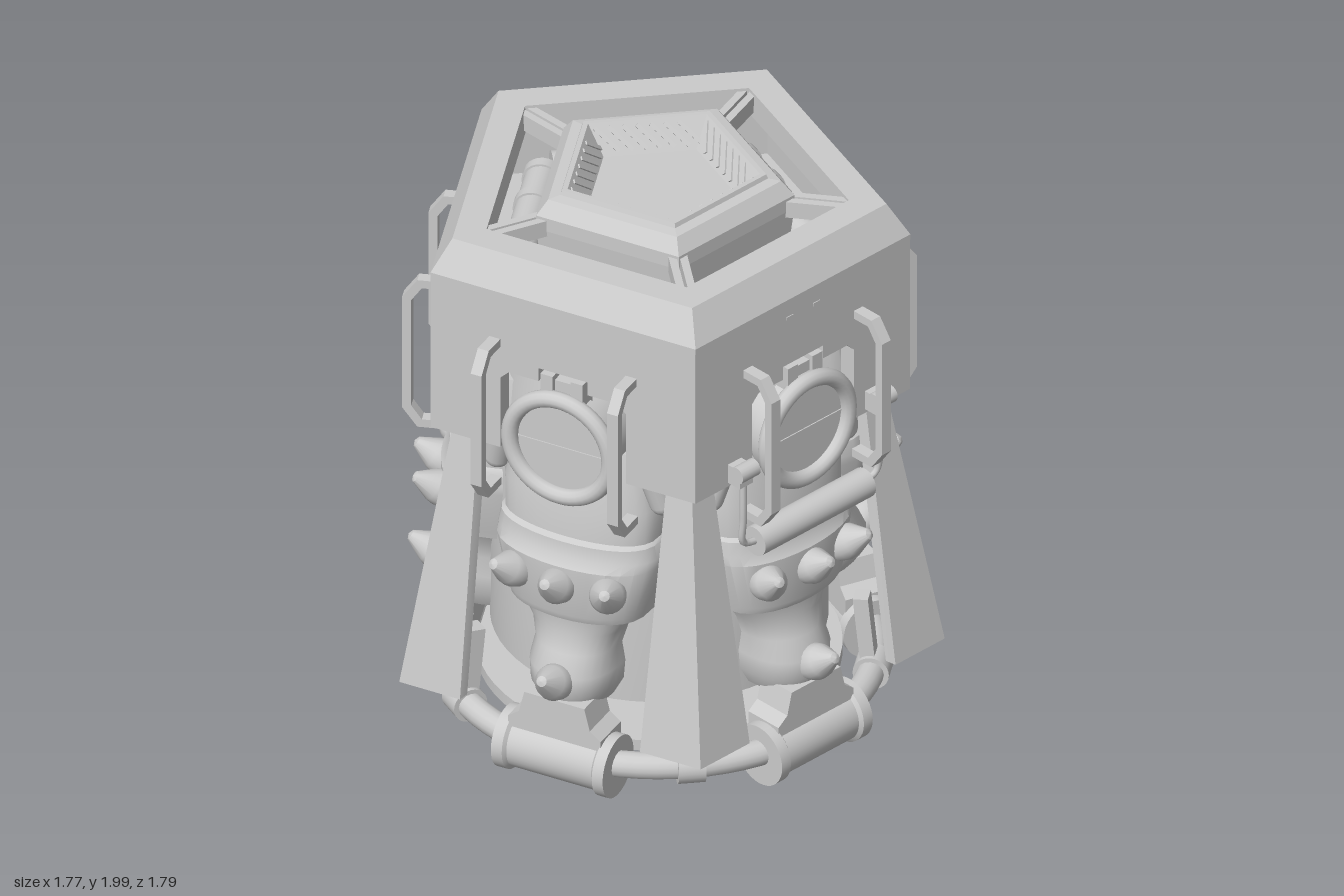
import * as THREE from 'three';
import { toCreasedNormals } from 'three/addons/utils/BufferGeometryUtils.js';

const grey = new THREE.MeshStandardMaterial({ color: 0xcccccc, side: THREE.DoubleSide });
const flat = new THREE.MeshStandardMaterial({ color: 0xcccccc, side: THREE.DoubleSide, flatShading: true });
const STEP = (Math.PI * 2) / 5;
const C36 = Math.cos(Math.PI / 5);
const v2 = (p) => new THREE.Vector2(...p);

function add(parent, name, geometry, pos = [0, 0, 0], rot = [0, 0, 0], material = grey) {
  const mesh = new THREE.Mesh(geometry, material);
  mesh.name = name;
  mesh.position.set(...pos);
  mesh.rotation.set(...rot);
  parent.add(mesh);
  return mesh;
}
const box = (x, y, z) => new THREE.BoxGeometry(x, y, z);
const cyl = (r, h, n = 32) => new THREE.CylinderGeometry(r, r, h, n);

// Pentagonal solid from [apothem, y] pairs, one corner on -x
const pentagon = (points) =>
  new THREE.LatheGeometry(points.map(([a, y]) => new THREE.Vector2(a / C36, y)), 5, -Math.PI / 2);

const polygon = (points) => new THREE.Shape(points.map(v2));

// Skin closed sections, bottom to top; for caps, point i lies opposite point n-1-i
function loft(sections, crease) {
  const n = sections[0].length, index = [];
  sections.slice(1).forEach((_, s) => {
    for (let i = 0; i < n; i++) {
      const a = s * n + i, b = s * n + ((i + 1) % n);
      index.push(a, b, b + n, a, b + n, a + n);
    }
  });
  const top = (sections.length - 1) * n;
  for (let i = 0; i < n / 2 - 1; i++) {
    const [a, b, c, d] = [i, i + 1, n - 2 - i, n - 1 - i];
    index.push(a, c, b, a, d, c, top + a, top + b, top + c, top + a, top + c, top + d);
  }
  const g = new THREE.BufferGeometry();
  g.setAttribute('position', new THREE.Float32BufferAttribute(sections.flat(2), 3));
  g.setIndex(index);
  return toCreasedNormals(g, crease);
}

// Cross-section of a leg: rounded front, flat back
function legSection([y, w, front]) {
  const outer = [], inner = [], n = 16;
  for (let i = 0; i <= n; i++) {
    const t = Math.PI * (1 - i / n), x = w * Math.cos(t);
    outer.push([x, y, 0.5 + (front - 0.5) * Math.pow(Math.max(Math.sin(t), 0), 0.65)]);
    inner.unshift([x, y, 0.42]);
  }
  return [...outer, ...inner];
}

// Wedge-shaped cross-section of a corner fin
function finSection([y, w, r]) {
  const wing = r - w * 0.727, back = wing - 0.035;
  return [[-w, y, wing], [0, y, r], [w, y, wing], [w * 0.9, y, back], [0, y, back], [-w * 0.9, y, back]];
}

const legGeometry = loft([[0.3, 0.12, 0.7], [0.36, 0.15, 0.73], [0.43, 0.155, 0.73], [0.5, 0.145, 0.69],
  [0.57, 0.165, 0.67], [0.63, 0.2, 0.675], [0.645, 0.245, 0.7], [0.67, 0.25, 0.71], [0.85, 0.295, 0.71],
  [0.88, 0.295, 0.685], [0.93, 0.285, 0.68], [0.94, 0.275, 0.66], [1.06, 0.28, 0.65], [1.26, 0.23, 0.6]].map(legSection), 0.6);
const finGeometry = loft([[0.26, 0.18, 0.94], [1.26, 0.07, 0.735]].map(finSection), 0.3);
const spikeGeometry = toCreasedNormals(new THREE.LatheGeometry(
  [[0, -0.035], [0.058, -0.035], [0.062, 0], [0.054, 0.03], [0.018, 0.098], [0, 0.106]].map(v2), 20), 0.5);
const rollerGeometry = toCreasedNormals(new THREE.LatheGeometry(
  [[0, -0.205], [0.108, -0.205], [0.108, -0.165], [0.095, -0.155], [0.095, 0.155],
    [0.108, 0.165], [0.108, 0.205], [0, 0.205]].map(v2), 36), 0.5);
const footGeometry = new THREE.ExtrudeGeometry(polygon([
  [-0.17, 0.12], [0.17, 0.12], [0.17, 0.23], [0.13, 0.26], [0.11, 0.34], [-0.11, 0.34], [-0.13, 0.26], [-0.17, 0.23]]),
{ depth: 0.14, bevelEnabled: false });
const panelGeometry = new THREE.ExtrudeGeometry(polygon([
  [-0.484, 1.22], [-0.23, 1.22], [-0.23, 1.49], [-0.2, 1.52], [-0.09, 1.52], [-0.09, 1.57], [0.09, 1.57],
  [0.09, 1.52], [0.2, 1.52], [0.23, 1.49], [0.23, 1.22], [0.484, 1.22], [0.484, 1.82], [-0.484, 1.82]]),
{ depth: 0.06, bevelEnabled: false });
const handleGeometry = new THREE.ExtrudeGeometry(polygon([
  [0.66, 1.64], [0.75, 1.64], [0.8, 1.57], [0.8, 1.14], [0.75, 1.07], [0.66, 1.07],
  [0.66, 1.1], [0.735, 1.1], [0.77, 1.15], [0.77, 1.56], [0.735, 1.61], [0.66, 1.61]]),
{ depth: 0.04, bevelEnabled: false });

// Everything on one face, built facing +z
function buildFace() {
  const g = new THREE.Group();
  add(g, 'wallPanel', panelGeometry, [0, 0, 0.609]);

  // Round lamp
  add(g, 'lampHousing', cyl(0.175, 0.24), [0, 1.3, 0.565], [Math.PI / 2, 0, 0]);
  add(g, 'lampRim', new THREE.TorusGeometry(0.184, 0.029, 12, 48), [0, 1.3, 0.69]);
  add(g, 'lampCollar', new THREE.CylinderGeometry(0.19, 0.19, 0.07, 40, 1, true), [0, 1.3, 0.66], [Math.PI / 2, 0, 0]);
  add(g, 'lampSplit', box(0.34, 0.006, 0.006), [0, 1.3, 0.686]);
  for (const s of [-1, 1]) add(g, 'lampBracket', box(0.045, 0.1, 0.07), [s * 0.055, 1.51, 0.645]);
  add(g, 'lampBracketBar', box(0.12, 0.04, 0.05), [0, 1.52, 0.64]);

  // Leg, foot and roller
  add(g, 'leg', legGeometry);
  add(g, 'foot', footGeometry, [0, 0, 0.59]);
  add(g, 'roller', rollerGeometry, [0, 0.115, 0.675], [0, 0, Math.PI / 2]);
  for (const s of [-1, 0, 1]) {
    const spike = add(g, 'spike', spikeGeometry, [s * 0.175, 0.78, s ? 0.69 : 0.715]);
    spike.rotation.set(Math.PI / 2 - 0.55, s * 0.35, 0, 'YXZ');
  }
  add(g, 'lowerSpike', spikeGeometry, [0, 0.415, 0.735], [Math.PI / 2 - 0.55, 0, 0]);

  // Side handles and hip pins
  for (const s of [-1, 1]) {
    add(g, 'handle', handleGeometry, [s * 0.25 + 0.02, 0, 0], [0, -Math.PI / 2, 0]);
    add(g, 'hipPin', new THREE.CapsuleGeometry(0.045, 0.1, 6, 16), [s * 0.29, 1.15, 0.56], [0.2, 0, s * 0.25]);
  }

  // Banded tube in the roof opening
  add(g, 'roofTube', cyl(0.06, 0.58, 24), [0, 1.72, 0.43], [0, 0, Math.PI / 2]);
  for (const x of [-0.27, -0.1, 0.1, 0.27]) {
    add(g, 'tubeBand', cyl(0.067, 0.04, 24), [x, 1.72, 0.43], [0, 0, Math.PI / 2]);
  }

  // Slanted slats on the turret's inner slope
  for (let i = -3; i <= 3; i++) {
    const slat = add(g, 'slat', box(0.014, 0.11, 0.014), [i * 0.046, 1.952, 0.24], [0.56, 0, 0]);
    slat.rotateZ(-0.75);
  }
  return g;
}

// Everything on one corner, built facing +z
function buildCorner() {
  const g = new THREE.Group();
  add(g, 'fin', finGeometry);
  add(g, 'collar', cyl(0.06, 0.09, 24), [0, 0.125, 0.704], [0, 0, Math.PI / 2]);
  add(g, 'strut', box(0.06, 0.26, 0.05), [0, 0.27, 0.68], [-0.1, 0, 0]);
  for (const s of [-1, 1]) add(g, 'roofSpoke', box(0.026, 0.06, 0.27), [s * 0.018, 1.89, 0.55]);
  return g;
}

// Hanging cylinder on two wire arms
function buildRoll() {
  const g = new THREE.Group();
  g.name = 'hangingRoll';
  add(g, 'roll', cyl(0.052, 0.5), [0, 0.98, 0.7], [0, 0, Math.PI / 2]);
  for (const s of [-1, 1]) {
    add(g, 'rollBracket', box(0.06, 0.07, 0.07), [s * 0.31, 1.27, 0.69]);
    add(g, 'rollHinge', cyl(0.03, 0.08, 16), [s * 0.31, 1.29, 0.72], [0, 0, Math.PI / 2]);
    const path = new THREE.CatmullRomCurve3([[0.31, 1.28, 0.71], [0.31, 1.1, 0.71], [0.3, 1.0, 0.7], [0.24, 0.98, 0.7]]
      .map(([x, y, z]) => new THREE.Vector3(s * x, y, z)));
    add(g, 'rollArm', new THREE.TubeGeometry(path, 20, 0.012, 8));
  }
  return g;
}

export function createModel() {
  const model = new THREE.Group();
  const body = new THREE.Group();
  body.name = 'tower';
  body.position.x = 0.06;
  model.add(body);

  // Core, roof rim and inner deck
  add(body, 'core', toCreasedNormals(new THREE.LatheGeometry(
    [[0, 0.27], [0.55, 0.27], [0.55, 0.9], [0.5, 1.25], [0.4, 1.58]].map(v2), 60), 0.5));
  add(body, 'roofRim', pentagon([[0.669, 1.8], [0.669, 1.82], [0.605, 1.93], [0.505, 1.93], [0.5, 1.84], [0.61, 1.8]]),
    undefined, undefined, flat);
  add(body, 'deck', pentagon([[0.3, 1.58], [0.62, 1.58], [0.62, 1.6], [0.3, 1.6]]), undefined, undefined, flat);

  // Central turret with recessed top
  add(body, 'turret', pentagon([[0.33, 1.58], [0.36, 1.88], [0.36, 1.93], [0.325, 1.98], [0.29, 1.985],
    [0.285, 2.0], [0.268, 2.0], [0.21, 1.905], [0, 1.905]]), undefined, undefined, flat);

  // Base ring and floor plate
  add(body, 'baseRing', new THREE.TorusGeometry(0.704, 0.045, 16, 80), [0, 0.125, 0], [Math.PI / 2, 0, 0]);
  add(body, 'floorPlate', cyl(0.595, 0.04, 60), [0, 0.13, 0]);

  for (let k = 0; k < 5; k++) {
    const face = buildFace();
    face.name = 'face' + (k + 1);
    face.rotation.y = Math.PI / 2 - k * STEP;
    if (k === 0 || k === 3) face.add(buildRoll());
    // Small ports high on two faces
    for (const s of [-1, 1]) {
      if (k === 0) add(face, 'slit', box(0.03, 0.012, 0.02), [s * 0.06, 1.75, 0.662]);
      if (k === 4) add(face, 'port', new THREE.CapsuleGeometry(0.022, 0.025, 6, 12), [s * 0.06, 1.76, 0.662]);
    }
    body.add(face);

    const corner = buildCorner();
    corner.name = 'corner' + (k + 1);
    corner.rotation.y = Math.PI / 2 - (k + 0.5) * STEP;
    body.add(corner);
  }
  return model;
}
